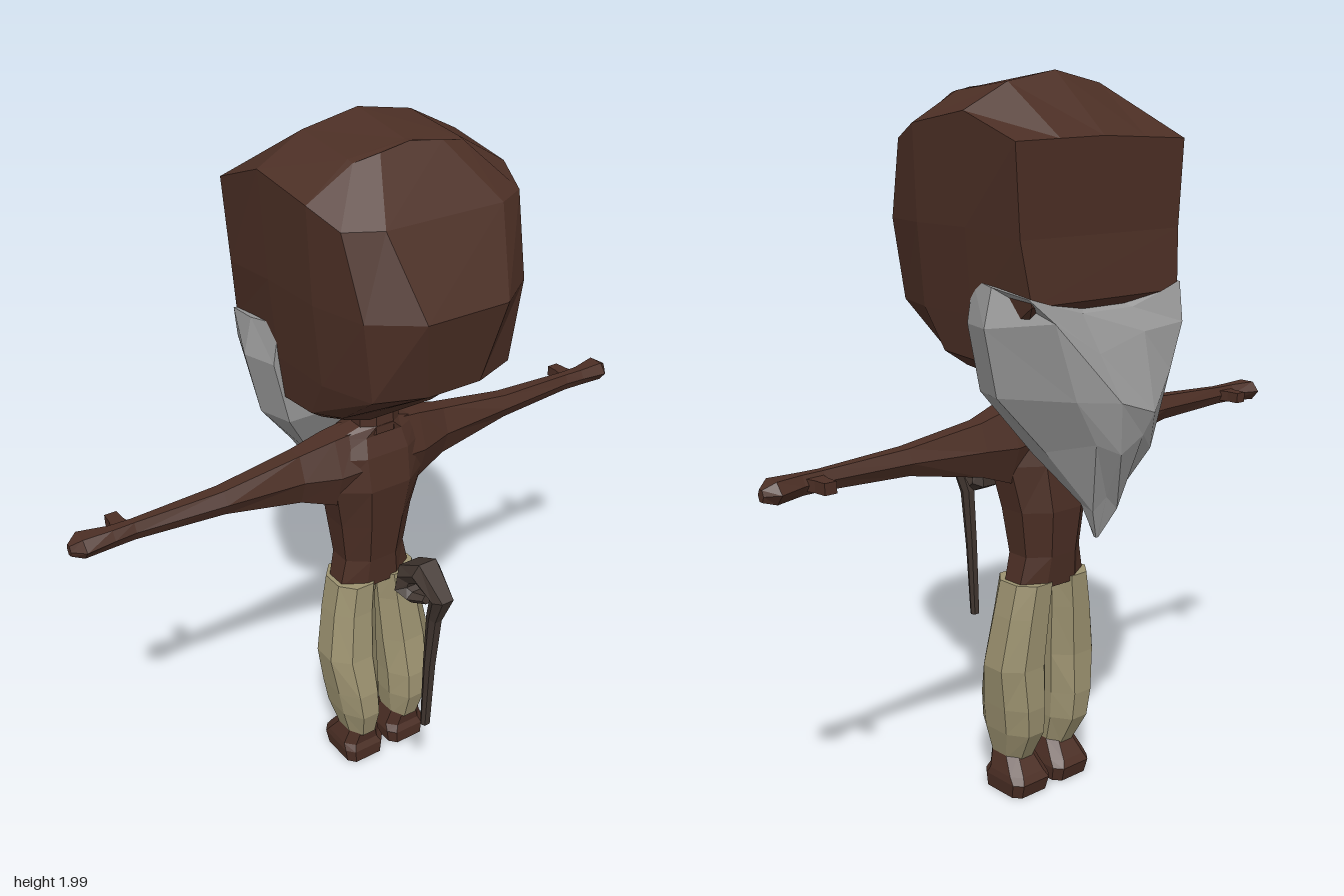
import * as THREE from 'three';

const mat = (name, color) => {
  const m = new THREE.MeshStandardMaterial({ color });
  m.name = name;
  return m;
};

// Faceted solid through a list of rings of [x, y, z]; faces always point outward
function loft(rings) {
  const tris = [];
  const add = (a, b, c) => tris.push([a, b, c]);
  const n = rings[0].length;
  for (let r = 0; r < rings.length - 1; r++) {
    for (let i = 0; i < n; i++) {
      const j = (i + 1) % n, p = rings[r], q = rings[r + 1];
      add(p[i], p[j], q[j]);
      add(p[i], q[j], q[i]);
    }
  }
  const centre = ring => [0, 1, 2].map(k => ring.reduce((s, p) => s + p[k], 0) / n);
  const first = rings[0], last = rings[rings.length - 1];
  const c0 = centre(first), c1 = centre(last);
  for (let i = 0; i < n; i++) {
    const j = (i + 1) % n;
    add(c0, first[j], first[i]);
    add(c1, last[i], last[j]);
  }
  // signed volume tells whether the winding must be turned round
  let volume = 0;
  const a = new THREE.Vector3(), b = new THREE.Vector3(), c = new THREE.Vector3();
  for (const t of tris) {
    a.fromArray(t[0]); b.fromArray(t[1]); c.fromArray(t[2]);
    volume += a.dot(b.cross(c));
  }
  const flat = tris.flatMap(t => (volume < 0 ? [t[0], t[2], t[1]] : t)).flat();
  const g = new THREE.BufferGeometry();
  g.setAttribute('position', new THREE.Float32BufferAttribute(flat, 3));
  g.computeVertexNormals();
  return g;
}

// Full ring from its +x half
const mirrorRing = half => [...half, ...half.map(([x, y, z]) => [-x, y, z]).reverse()];

// Eight-sided horizontal ring with chamfered corners
function level(y, x0, x1, z0, z1, cut = 0.28) {
  const cx = (x1 - x0) * cut, cz = (z1 - z0) * cut;
  return [[x0 + cx, y, z1], [x1 - cx, y, z1], [x1, y, z1 - cz], [x1, y, z0 + cz],
    [x1 - cx, y, z0], [x0 + cx, y, z0], [x0, y, z0 + cz], [x0, y, z1 - cz]];
}

export function createModel() {
  const group = new THREE.Group();
  const brown = mat('brown', 0x4c2f25);
  const khaki = mat('khaki', 0x9c9270);
  const grey = mat('grey', 0x989898);
  const darkWood = mat('dark wood', 0x40352f);
  const part = (name, rings, material) => {
    const m = new THREE.Mesh(loft(rings), material);
    m.name = name;
    group.add(m);
  };

  // Head: rounded at +z, flat at -z, arched crown
  part('head', [
    [[.10, 1.24, .07], [.16, 1.25, .05], [.20, 1.25, 0], [.20, 1.24, -.08], [.16, 1.25, -.15]],
    [[.09, 1.29, .12], [.20, 1.29, .10], [.25, 1.29, .03], [.25, 1.28, -.10], [.20, 1.30, -.22]],
    [[.08, 1.40, .30], [.21, 1.40, .25], [.26, 1.40, .10], [.265, 1.40, -.10], [.26, 1.44, -.32]],
    [[.12, 1.62, .35], [.24, 1.62, .26], [.28, 1.62, .10], [.285, 1.62, -.10], [.28, 1.60, -.30]],
    [[.17, 1.83, .25], [.26, 1.83, .20], [.29, 1.87, .10], [.295, 1.90, -.11], [.295, 1.83, -.30]],
    [[.09, 1.96, .11], [.16, 1.945, .10], [.16, 1.95, .08], [.16, 1.97, -.12], [.15, 1.835, -.30]],
    [[0, 1.97, .10], [0, 1.97, .09], [0, 1.97, .08], [0, 2.0, -.12], [0, 1.84, -.30]],
  ].map(mirrorRing), brown);

  // Beard: wide under the head, bulging at -z, narrowing to a point
  const beard = [
    [[.26, 1.49, -.10], [.285, 1.48, -.20], [.27, 1.46, -.32], [.09, 1.41, -.32]],
    [[.28, 1.38, -.10], [.31, 1.38, -.20], [.23, 1.38, -.355], [.08, 1.33, -.36]],
    [[.24, 1.20, -.10], [.27, 1.20, -.20], [.17, 1.22, -.37], [.06, 1.17, -.42]],
    [[.13, 1.03, -.18], [.15, 1.05, -.25], [.10, 1.06, -.37], [.04, 1.07, -.40]],
    [[.03, .89, -.265], [.05, .90, -.28], [.05, .90, -.31], [.02, .90, -.33]],
    [[.005, .80, -.285], [.006, .80, -.29], [.005, .80, -.293], [.002, .80, -.295]],
  ].map(mirrorRing);
  // slight unevenness of the tufts
  beard.forEach((ring, r) => ring.forEach((p, i) => {
    if (r > 0 && r < 5 && i > 1 && i < 6) {
      p[0] -= .015;
      p[1] += ((r + i) % 2 ? .02 : -.02);
    }
  }));
  part('beard', beard, grey);

  // Torso and neck
  part('torso', [
    level(.63, -.12, .12, -.155, -.015),
    level(.72, -.10, .10, -.165, -.01),
    level(.85, -.118, .118, -.178, .01),
    level(.98, -.145, .145, -.165, .03),
    level(1.08, -.15, .15, -.15, .015),
    level(1.135, -.13, .13, -.135, -.005),
    level(1.165, -.06, .06, -.10, 0),
  ], brown);
  part('neck', [level(1.14, -.065, .065, -.095, 0), level(1.27, -.058, .058, -.09, -.005)], brown);

  for (const s of [1, -1]) {
    const side = s > 0 ? 'left' : 'right';

    // Arm and hand: six-sided sections along x as [x, low y, high y, back z, front z]
    part(side + 'Arm', [
      [.08, .94, 1.15, -.14, .01],
      [.14, .935, 1.14, -.14, .00],
      [.24, .97, 1.115, -.13, -.03],
      [.47, 1.015, 1.085, -.115, -.04],
      [.72, 1.025, 1.075, -.105, -.06],
      [.78, 1.025, 1.075, -.11, -.055],
      [.86, 1.022, 1.077, -.138, -.045],
      [.89, 1.03, 1.06, -.105, -.08],
    ].map(([x, y0, y1, z0, z1]) => {
      const y = (y0 + y1) / 2, a = z0 + (z1 - z0) * .25, b = z0 + (z1 - z0) * .75;
      return [[a, y1], [b, y1], [z1, y], [b, y0], [a, y0], [z0, y]].map(([z, v]) => [s * x, v, z]);
    }), brown);

    // Thumb
    part(side + 'Thumb', [[-.09, .72, .775], [-.125, .728, .765], [-.162, .728, .762]].map(([z, a, b]) =>
      [[a, 1.035], [b, 1.035], [b, 1.065], [a, 1.065]].map(([x, y]) => [s * x, y, z])), brown);

    // Baggy trouser leg
    const flip = ring => ring.map(([x, y, z]) => [s * x, y, z]);
    part(side + 'TrouserLeg', [
      level(.11, .03, .125, -.10, .025),
      level(.20, .02, .148, -.148, .05),
      level(.28, .018, .16, -.155, .045),
      level(.40, .012, .175, -.15, .018),
      level(.55, .006, .15, -.157, 0),
      level(.645, 0, .13, -.16, -.005),
    ].map(flip), khaki);

    // Foot with toes at -z
    part(side + 'Foot', [
      level(.008, .015, .14, -.13, .02, .15),
      level(.05, .01, .145, -.142, .022, .15),
      level(.07, .015, .142, -.13, .012, .2),
      level(.125, .03, .125, -.09, .02, .25),
    ].map(flip), brown);
  }

  // Hooked cane: path as [z, y, half thickness, half width]
  const path = [[.325, .38, .011, .014], [.338, .60, .015, .016], [.355, .77, .02, .018],
    [.385, .845, .03, .03], [.315, .895, .034, .045], [.262, .868, .028, .055],
    [.258, .825, .024, .06], [.292, .808, .018, .045], [.335, .82, .012, .025]];
  part('cane', path.map(([z, y, t, w], i) => {
    const p = path[Math.max(i - 1, 0)], q = path[Math.min(i + 1, path.length - 1)];
    const len = Math.hypot(q[0] - p[0], q[1] - p[1]);
    const nz = -(q[1] - p[1]) / len * t, ny = (q[0] - p[0]) / len * t;
    return [[1, .6], [1, -.6], [0, -1], [-1, -.6], [-1, .6], [0, 1]].map(([k, u]) =>
      [-.088 + u * w, y + k * ny, z + k * nz]);
  }), darkWood);

  return group;
}
